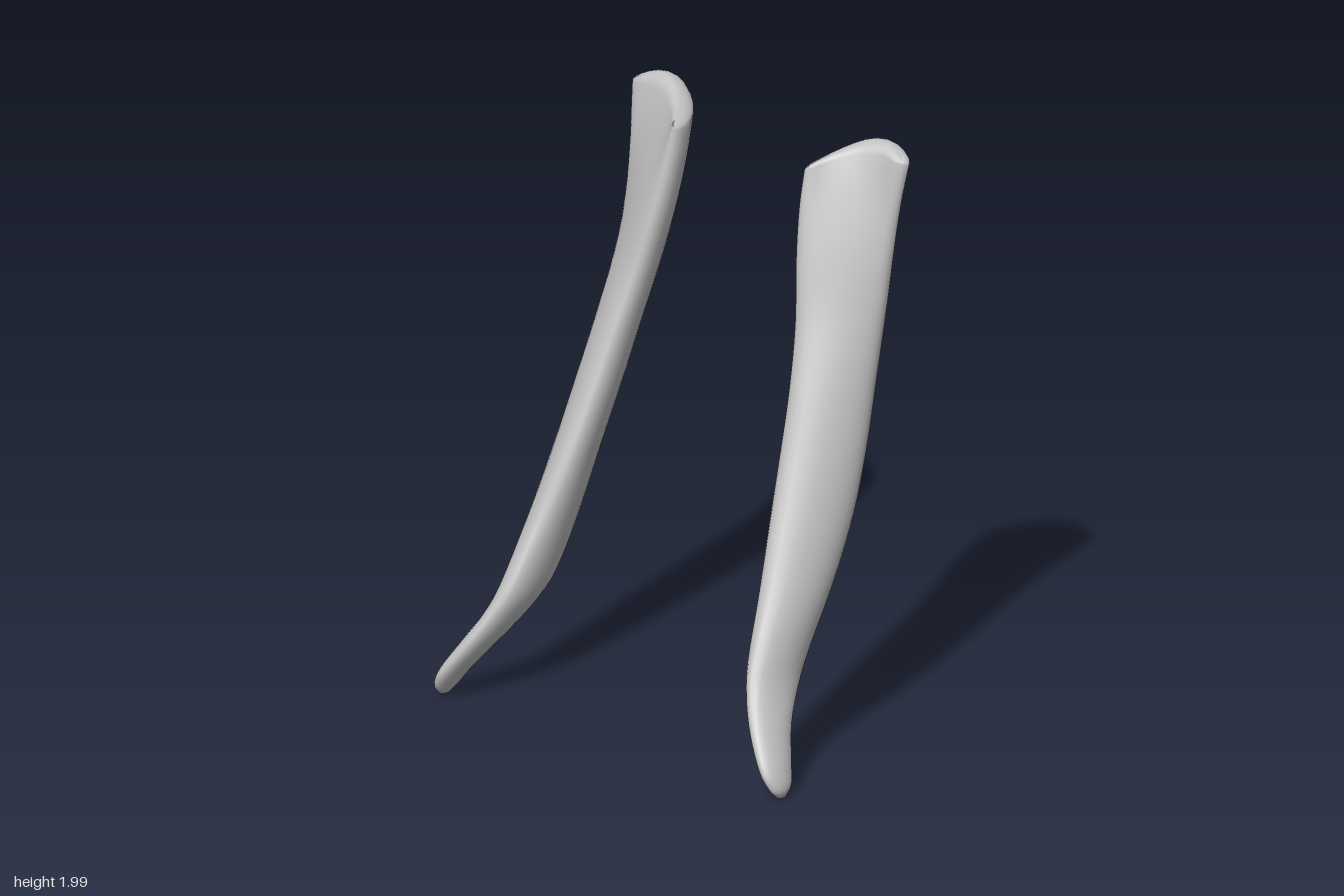
import * as THREE from 'three';

// Unit cross-section of the top (u: inner to outer, v: back to front), from the inner front edge.
const CRESCENT = [[.03, 1], [0, .78], [.1, .42], [.28, .15], [.52, 0], [.76, .01], [.95, .12],
  [1, .26], [.9, .37], [.72, .36], [.52, .43], [.36, .57], [.2, .78], [.1, .97]];

// Levels along the bone: y, inner x, outer x, back z, front z, crescent weight
const LEVELS = [
  [.006, .698, .722, .38, .42, 0],
  [.04, .672, .731, .345, .45, 0],
  [.1, .632, .71, .31, .46, 0],
  [.2, .56, .655, .235, .425, 0],
  [.3, .502, .607, .135, .375, 0],
  [.4, .465, .589, .055, .322, 0],
  [.6, .43, .59, -.06, .215, 0],
  [.8, .402, .587, -.155, .122, 0],
  [1, .375, .577, -.233, .035, .03],
  [1.2, .35, .562, -.3, -.045, .08],
  [1.4, .317, .555, -.358, -.118, .2],
  [1.6, .28, .56, -.403, -.172, .42],
  [1.75, .263, .572, -.433, -.215, .72],
  [1.87, .262, .58, -.458, -.25, 1],
];
const SIDES = 28, STEPS = 52;
const { lerp, smoothstep, clamp } = THREE.MathUtils;

const crescentCurve = new THREE.CatmullRomCurve3(
  CRESCENT.map(([u, v]) => new THREE.Vector3(u, v, 0)), true, 'catmullrom', 0.5);

// Tilted oval filling the unit square; a smaller phase makes it a thinner diagonal blade
const ovalPoint = (angle, phase) => new THREE.Vector3(
  0.5 - 0.5 * Math.cos(angle - phase), 0.5 + 0.5 * Math.cos(angle + phase), 0);

function boneGeometry(side) {
  const spline = (a, b, c) => new THREE.CatmullRomCurve3(
    LEVELS.map((l) => new THREE.Vector3(l[a], l[b], l[c])), false, 'catmullrom', 0.5);
  const xs = spline(0, 1, 2), zs = spline(3, 4, 5);

  // Shaft rings, with the upper end rising towards the outer and back sides
  const rings = [];
  for (let i = 0; i <= STEPS; i++) {
    const p = xs.getPoint(i / STEPS), q = zs.getPoint(i / STEPS);
    const slant = 0.1 * smoothstep(p.x, 1.45, 1.87);
    const phase = lerp(0.84, 0.52, smoothstep(p.x, 0.05, 0.9));
    rings.push(Array.from({ length: SIDES }, (_, j) => {
      const m = ovalPoint(2 * Math.PI * j / SIDES, phase)
        .lerp(crescentCurve.getPoint(j / SIDES), clamp(q.z, 0, 1));
      const rise = (0.3 + 0.7 * Math.sin(m.x * 2.4)) * (1 - 0.4 * m.y);
      return new THREE.Vector3(lerp(p.y, p.z, m.x), p.x + slant * rise, lerp(q.x, q.y, m.y));
    }));
  }
  // Rounded top: opposite walls close onto a curved ridge
  const rim = rings[STEPS];
  for (const [pull, rise] of [[.15, .013], [.4, .022], [.7, .028], [1, .03]]) {
    rings.push(rim.map((p, j) => {
      const mid = p.clone().add(rim[(SIDES - j) % SIDES]).multiplyScalar(0.5);
      const r = p.clone().lerp(mid, pull);
      r.x = lerp(r.x, 0.42, 0.1 * pull);
      r.y += rise * (0.4 + 0.6 * Math.abs(Math.sin(2 * Math.PI * j / SIDES)));
      return r;
    }));
  }

  const pos = [], index = [];
  const tri = (a, b, c) => (side > 0 ? index.push(a, b, c) : index.push(a, c, b));
  rings.flat().forEach((p) => pos.push(side * p.x, p.y, p.z));
  for (let i = 0; i < rings.length - 1; i++) {
    for (let j = 0; j < SIDES; j++) {
      const a = i * SIDES + j, c = i * SIDES + (j + 1) % SIDES;
      tri(a, a + SIDES, c);
      tri(c, a + SIDES, c + SIDES);
    }
  }
  // Lower tip
  const tip = pos.length / 3;
  pos.push(side * .712, 0, .4);
  for (let j = 0; j < SIDES; j++) tri(tip, j, (j + 1) % SIDES);

  const geo = new THREE.BufferGeometry();
  geo.setAttribute('position', new THREE.Float32BufferAttribute(pos, 3));
  geo.setIndex(index);
  geo.computeVertexNormals();
  return geo;
}

export function createModel() {
  const group = new THREE.Group();
  group.name = 'curvedBonePair';
  const grey = new THREE.MeshStandardMaterial({ color: 0xbfbfbf });
  grey.name = 'bone grey';
  for (const [name, side] of [['leftBone', 1], ['rightBone', -1]]) {
    const mesh = new THREE.Mesh(boneGeometry(side), grey);
    mesh.name = name;
    group.add(mesh);
  }
  return group;
}
